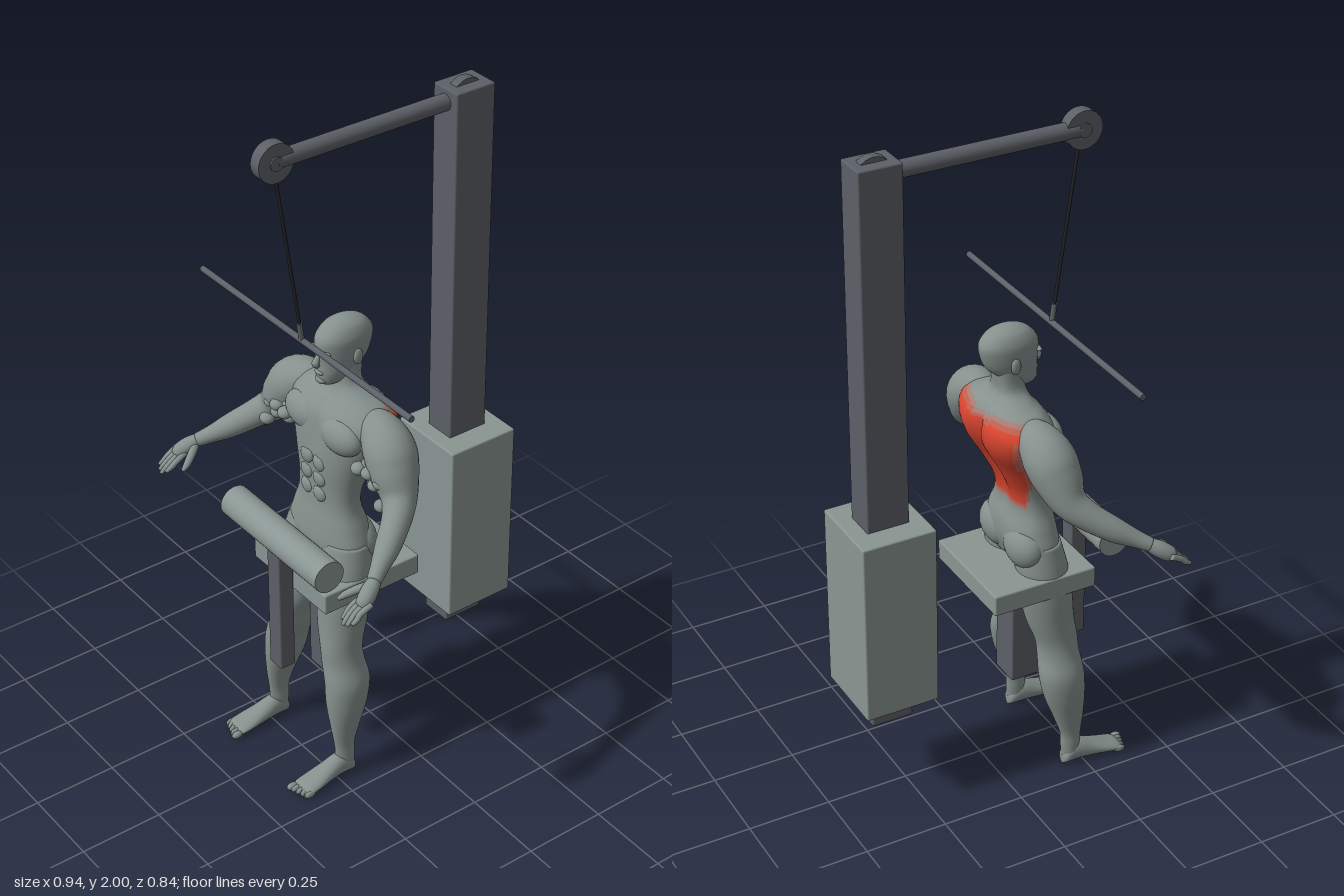
import * as THREE from 'three';
import { RoundedBoxGeometry } from 'three/addons/geometries/RoundedBoxGeometry.js';

const mat = (name, color) => {
  const m = new THREE.MeshStandardMaterial({ color });
  m.name = name;
  return m;
};
const V = (x, y, z) => new THREE.Vector3(x, y, z);
const SEG = 40;

// Smoothly resample rows of numbers (Catmull-Rom)
function smooth(rows, steps) {
  const out = [], last = rows.length - 1;
  for (let i = 0; i < last; i++) {
    const [a, b, c, d] = [rows[Math.max(i - 1, 0)], rows[i], rows[i + 1], rows[Math.min(i + 2, last)]];
    for (let k = 0; k < steps; k++) {
      const t = k / steps;
      out.push(b.map((_, n) => 0.5 * (2 * b[n] + (c[n] - a[n]) * t + (2 * a[n] - 5 * b[n] + 4 * c[n] - d[n]) * t * t
        + (3 * b[n] - a[n] - 3 * c[n] + d[n]) * t * t * t)));
    }
  }
  out.push(rows[last]);
  return out;
}

// Skin a list of closed rings; pick(centre) chooses the material slot of a quad
function loft(rings, pick = () => 0) {
  const n = rings[0].length, pos = [], lists = [[], [], [], []];
  rings.forEach(r => r.forEach(p => pos.push(p.x, p.y, p.z)));
  const last = (rings.length - 1) * n, total = rings.length * n;
  for (const r of [rings[0], rings.at(-1)]) {
    const c = r.reduce((s, p) => s.add(p), V(0, 0, 0)).divideScalar(n);
    pos.push(c.x, c.y, c.z);
  }
  for (let j = 0; j < n; j++) {
    const k = (j + 1) % n;
    for (let i = 0; i < rings.length - 1; i++) {
      const mid = rings[i][j].clone().add(rings[i + 1][k]).multiplyScalar(0.5);
      const a = i * n + j, b = i * n + k, c = a + n, d = b + n;
      lists[pick(mid)].push(a, c, b, b, c, d);
    }
    lists[0].push(total, j, k, total + 1, last + k, last + j);
  }
  const g = new THREE.BufferGeometry();
  g.setAttribute('position', new THREE.Float32BufferAttribute(pos, 3));
  g.setIndex(lists.flat());
  let start = 0;
  lists.forEach((l, i) => { if (l.length) g.addGroup(start, l.length, i); start += l.length; });
  g.computeVertexNormals();
  return g;
}

// Rows of [y, centre x, half width, back z, front z], going up
const stack = (rows, power = 1, shape = p => p) => smooth(rows, 6).map(([y, cx, hw, zb, zf]) =>
  Array.from({ length: SEG }, (_, j) => {
    const a = j / SEG * Math.PI * 2, c = Math.cos(a), s = Math.sin(a);
    const f = v => Math.sign(v) * Math.abs(v) ** power;
    return shape(V(cx + hw * f(c), y, (zb + zf) / 2 + (zf - zb) / 2 * f(s)), s < 0);
  }));

// Round limb along a path of [x, y, z, radius]
function limb(rows, seg = 20) {
  const pts = smooth(rows, 6), m = pts.length - 1;
  const curve = new THREE.CatmullRomCurve3(pts.map(p => V(p[0], p[1], p[2])));
  const f = curve.computeFrenetFrames(m);
  return loft(pts.map((p, i) => Array.from({ length: seg }, (_, j) => {
    const a = j / seg * Math.PI * 2;
    return V(p[0], p[1], p[2]).addScaledVector(f.normals[i], p[3] * Math.cos(a)).addScaledVector(f.binormals[i], -p[3] * Math.sin(a));
  })));
}

function blob(x, y, z, rx, ry, rz) {
  return new THREE.SphereGeometry(1, 24, 16).scale(rx, ry, rz).translate(x, y, z);
}

function mirrored(geo) {
  const g = geo.clone().scale(-1, 1, 1), ix = g.index.array;
  for (let i = 0; i < ix.length; i += 3) [ix[i], ix[i + 1]] = [ix[i + 1], ix[i]];
  g.computeVertexNormals();
  return g;
}

export function createModel() {
  const skin = mat('body grey', 0x86918e), pad = mat('pad grey', 0x8a9693), steel = mat('frame steel', 0x5c6067);
  const black = mat('cable black', 0x242426), red = mat('muscle red', 0xd9452f);
  const blend = mat('strong red blend', 0xc0604f), faint = mat('faint red blend', 0xa37d76);
  const model = new THREE.Group(), figure = new THREE.Group(), machine = new THREE.Group();
  figure.name = 'figure';
  machine.name = 'pulldownMachine';
  model.add(figure, machine);
  const add = (parent, name, geo, material) => {
    const m = new THREE.Mesh(geo, material);
    m.name = name;
    parent.add(m);
    return m;
  };
  const pair = (name, geo) => {
    add(figure, name + 'Left', geo, skin);
    add(figure, name + 'Right', mirrored(geo), skin);
  };

  // Torso with a spine groove and highlighted back muscles
  const torso = stack([[.68, 0, .12, .08, .2], [.74, 0, .15, .06, .215], [.80, 0, .135, .06, .21], [.86, 0, .113, .075, .2],
    [.92, 0, .112, .068, .198], [1.0, 0, .135, .03, .2], [1.08, 0, .17, -.015, .195], [1.14, 0, .185, -.02, .185],
    [1.18, 0, .15, .004, .16], [1.205, 0, .095, .03, .14], [1.235, 0, .054, .042, .13], [1.3, 0, .047, .035, .12]], .88,
  (p, back) => {
    const chest = Math.exp(-(((p.y - 1.07) / .11) ** 2));
    if (back) p.z += (.03 * chest + .008) * Math.exp(-((p.x / .025) ** 2));
    else p.z -= .012 * chest * Math.exp(-((p.x / .015) ** 2));
    return p;
  });
  const paint = p => {
    const x = Math.abs(p.x);
    const d = Math.min(p.y - .865, 1.185 - .02 * Math.exp(-((x / .03) ** 2)) - p.y, .105 + .3 * (p.y - .87) - x);
    if (p.z > .1 || d < 0) return 0;
    return d > .025 ? 1 : d > .012 ? 2 : 3;
  };
  add(figure, 'torso', loft(torso, paint), [skin, red, blend, faint]);
  pair('chestMuscle', blob(.08, 1.105, .155, .08, .055, .045));
  pair('buttock', blob(.07, .745, .105, .078, .07, .055));
  for (let i = 0; i < 3; i++) pair('abdominal' + i, blob(.028, .9 + i * .05, .19, .027, .026, .015));

  // Head and face
  add(figure, 'head', loft(stack([[1.232, 0, .022, .1, .16], [1.245, 0, .035, .08, .17], [1.27, 0, .045, .05, .173],
    [1.3, 0, .052, .018, .172], [1.335, 0, .056, .003, .174], [1.37, 0, .056, .0, .172], [1.398, 0, .044, .02, .15],
    [1.412, 0, .027, .045, .125], [1.419, 0, .008, .075, .095]], .95)), skin);
  add(figure, 'nose', limb([[0, 1.33, .165, .006], [0, 1.312, .175, .009], [0, 1.3, .18, .011], [0, 1.293, .172, .008]], 12), skin);
  add(figure, 'lips', blob(0, 1.272, .17, .018, .007, .008), skin);
  add(figure, 'chin', blob(0, 1.247, .163, .02, .013, .013), skin);
  pair('brow', blob(.022, 1.338, .164, .022, .007, .01));
  pair('ear', blob(.057, 1.315, .08, .008, .024, .015));

  // Arms, with bunched muscle at the inner upper arm
  pair('arm', limb([[.12, 1.14, .085, .045], [.17, 1.135, .088, .062], [.215, 1.105, .095, .073], [.25, 1.055, .105, .068],
    [.29, 1.0, .12, .05], [.325, .965, .155, .041], [.365, .925, .215, .035], [.395, .898, .265, .025], [.417, .88, .3, .02]], 28));
  for (let i = 0; i < 9; i++) {
    const t = i / 8;
    pair('armFold' + i, blob(.17 + .11 * t, 1.05 - .05 * t + .03 * Math.sin(i * 2.4), .145 + .02 * Math.cos(i * 1.9), .022, .018, .022));
  }

  // Hands
  pair('palm', limb([[.413, .884, .292, .018], [.428, .866, .322, .024], [.44, .848, .35, .022], [.443, .84, .362, .012]]));
  for (let i = 0; i < 4; i++) {
    const mid = Math.abs(i - 1.3) * .008;
    pair('finger' + i, limb([[.419 + .014 * i, .852, .34, .009], [.417 + .014 * i, .834, .375, .009],
      [.419 + .014 * i, .815 + mid / 2, .402 - mid, .008], [.422 + .013 * i, .8 + mid, .418 - mid, .005]], 10));
  }
  pair('thumb', limb([[.413, .872, .308, .012], [.392, .857, .338, .012], [.376, .842, .365, .01], [.37, .833, .383, .005]], 10));

  // Legs and feet
  pair('leg', loft(stack([[.03, .165, .024, .185, .24], [.07, .164, .024, .182, .243], [.11, .163, .023, .18, .246],
    [.17, .16, .032, .16, .254], [.25, .152, .05, .132, .26], [.32, .145, .056, .12, .258], [.38, .125, .055, .125, .252],
    [.43, .115, .055, .122, .25], [.5, .1, .069, .1, .243], [.58, .095, .077, .085, .237], [.67, .088, .08, .075, .225],
    [.76, .075, .075, .075, .205]])));
  const foot = smooth([[.185, .165, .012, .03], [.195, .165, .024, .05], [.23, .164, .027, .072], [.28, .165, .032, .055],
    [.33, .167, .038, .036], [.365, .168, .038, .024], [.378, .168, .03, .014]], 4);
  pair('foot', loft(foot.map(([z, cx, hw, h]) => Array.from({ length: 24 }, (_, j) => {
    const a = j / 24 * Math.PI * 2;
    return V(cx + hw * Math.cos(a), h / 2 + .003 - h / 2 * Math.sin(a), z);
  }))));
  for (let i = 0; i < 5; i++) pair('toe' + i, blob(.14 + i * .015, .012, .383 - i * .005, i ? .008 : .011, .011, .018));

  // Machine frame, weight housing and seat: [name, material, size, centre]
  const boxes = [['column', steel, [.1, 1.725, .128], [0, 1.1225, -.311]], ['weightHousing', pad, [.244, .57, .225], [0, .63, -.3125]],
    ['seat', pad, [.342, .064, .325], [0, .637, .118]], ['seatPost', steel, [.096, .36, .1], [0, .44, .13]],
    ['rollerPost', steel, [.056, .42, .05], [0, .555, .31]]];
  for (const [name, material, s, c] of boxes) add(machine, name, new RoundedBoxGeometry(...s, 2, .005).translate(...c), material);

  // Cylinders between two points
  const rod = (name, a, b, r, material) => {
    const m = add(machine, name, new THREE.CylinderGeometry(r, r, a.distanceTo(b), 28), material);
    m.position.copy(a).lerp(b, .5);
    m.quaternion.setFromUnitVectors(V(0, 1, 0), b.clone().sub(a).normalize());
  };
  rod('topArm', V(0, 1.945, -.3), V(0, 1.945, .3), .024, steel);
  rod('frontPulley', V(-.018, 1.945, .303), V(.018, 1.945, .303), .055, steel);
  rod('frontPulleyHub', V(-.023, 1.945, .303), V(.023, 1.945, .303), .02, steel);
  rod('rearPulley', V(-.014, 1.945, -.311), V(.014, 1.945, -.311), .055, steel);
  rod('rollerPad', V(-.225, .78, .305), V(.225, .78, .305), .048, pad);
  rod('cable', V(0, 1.91, .297), V(0, 1.43, .228), .0045, black);
  rod('cableClip', V(0, 1.445, .23), V(0, 1.39, .223), .008, steel);
  rod('pullBar', V(-.472, 1.39, .222), V(.472, 1.39, .222), .009, steel);
  return model;
}
